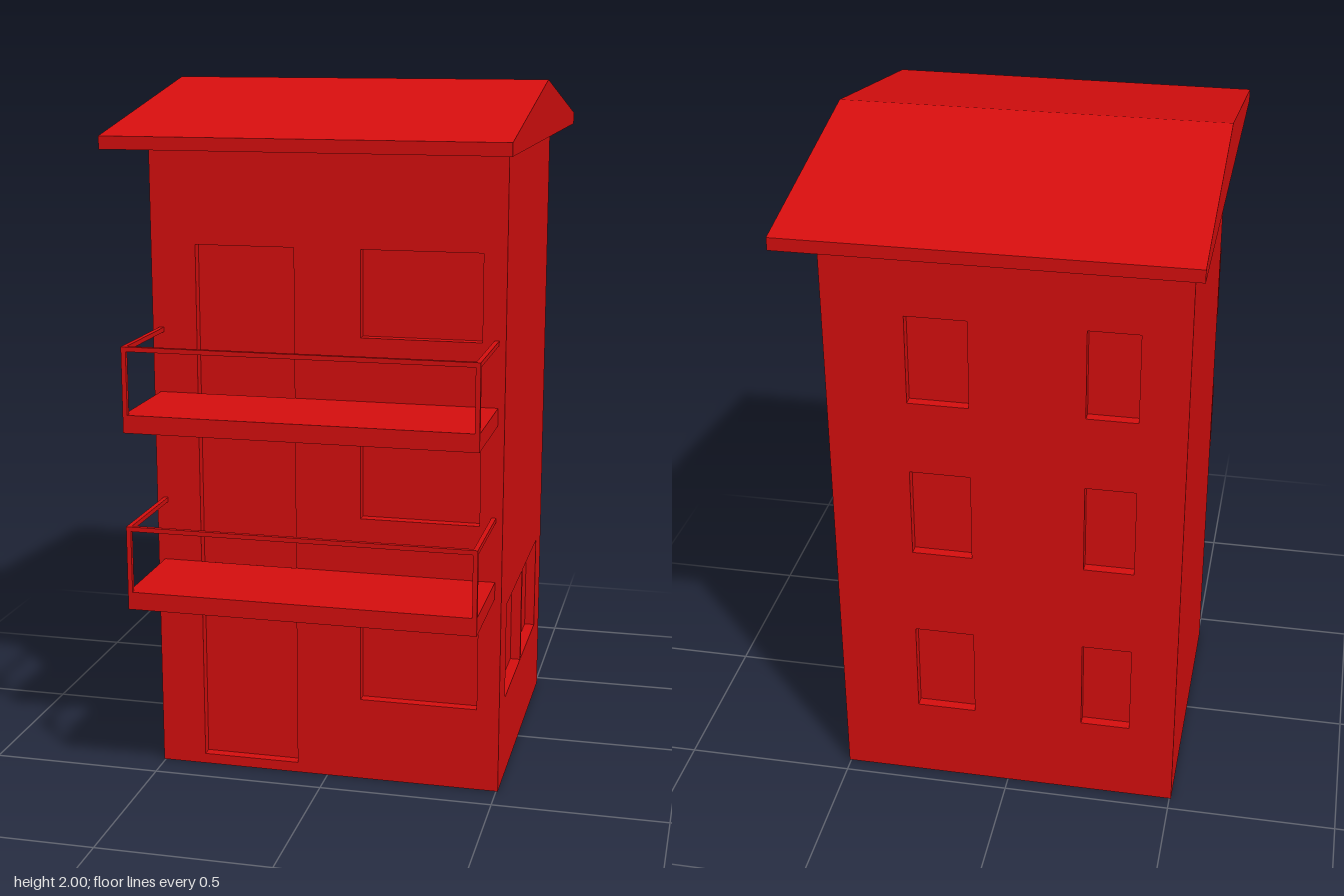
import * as THREE from 'three';

const RED = new THREE.MeshStandardMaterial({ color: 0xd80e0e, flatShading: true });

// Body extents and depth of the door and window recesses
const X = 0.505, FRONT = 0.41, BACK = -0.455, TOP = 1.835, RECESS = 0.03;

function add(parent, name, geometry) {
  const mesh = new THREE.Mesh(geometry, RED);
  mesh.name = name;
  parent.add(mesh);
  return mesh;
}

// Box given by its lower and upper corners
function box(parent, name, [x0, y0, z0], [x1, y1, z1]) {
  const mesh = add(parent, name, new THREE.BoxGeometry(x1 - x0, y1 - y0, z1 - z0));
  mesh.position.set((x0 + x1) / 2, (y0 + y1) / 2, (z0 + z1) / 2);
  return mesh;
}

// Wall slab from u0 to u1 with rectangular openings [u0, u1, y0, y1]
function wall(parent, name, u0, u1, openings) {
  const rect = (path, a, b, c, d) =>
    path.moveTo(a, c).lineTo(b, c).lineTo(b, d).lineTo(a, d).closePath();
  const shape = rect(new THREE.Shape(), u0, u1, 0, TOP);
  for (const [a, b, c, d] of openings) shape.holes.push(rect(new THREE.Path(), a, b, c, d));
  return add(parent, name, new THREE.ExtrudeGeometry(shape, { depth: RECESS, bevelEnabled: false }));
}

function makeBody() {
  const body = new THREE.Group();
  body.name = 'body';
  box(body, 'core', [-X, 0, BACK + RECESS], [X - RECESS, TOP, FRONT - RECESS]);

  // Front: a door and a window on each floor
  const frontOpenings = [];
  for (const [doorSill, windowSill, head] of [[0.03, 0.245, 0.53], [0.62, 0.79, 1.02], [1.12, 1.31, 1.555]]) {
    frontOpenings.push([-0.375, -0.09, doorSill, head], [0.1, 0.44, windowSill, head]);
  }
  wall(body, 'frontWall', -X, X, frontOpenings).position.z = FRONT - RECESS;

  // Back: two narrow windows on each floor (turned, so u = -x)
  const backOpenings = [];
  for (const [sill, head] of [[0.25, 0.53], [0.8, 1.07], [1.29, 1.555]]) {
    backOpenings.push([-0.275, -0.1, sill, head], [0.225, 0.37, sill, head]);
  }
  const back = wall(body, 'backWall', -X, X, backOpenings);
  back.rotation.y = Math.PI;
  back.position.z = BACK + RECESS;

  // Left side: one pair of ground floor windows (u = -z)
  const side = wall(body, 'sideWall', -(FRONT - RECESS), -(BACK + RECESS),
    [[-0.3, 0.016, 0.245, 0.53], [0.032, 0.34, 0.245, 0.53]]);
  side.rotation.y = Math.PI / 2;
  side.position.x = X - RECESS;
  return body;
}

function makeBalcony(y) {
  const balcony = new THREE.Group();
  balcony.name = 'balcony';
  const w = 0.486, z = 0.72, t = 0.013, rail = 0.237;
  box(balcony, 'floor', [-w, 0, FRONT], [w, 0.05, z]);
  box(balcony, 'frontRail', [-w, rail - t, z - t], [w, rail, z]);
  for (const x of [-w, w - t]) {
    box(balcony, 'post', [x, 0.05, z - t], [x + t, rail - t, z]);
    box(balcony, 'sideRail', [x, rail - t, FRONT], [x + t, rail, z - t]);
  }
  balcony.position.y = y;
  return balcony;
}

// Gabled roof with its ridge along x (profile u = -z)
function makeRoof() {
  const profile = new THREE.Shape([
    [-0.67, TOP], [0.715, TOP], [0.715, 1.87], [0.025, 2], [-0.67, 1.87],
  ].map(([u, y]) => new THREE.Vector2(u, y)));
  const geometry = new THREE.ExtrudeGeometry(profile, { depth: 1.1, bevelEnabled: false });
  geometry.translate(0, 0, -0.55).rotateY(Math.PI / 2);
  const roof = new THREE.Mesh(geometry, RED);
  roof.name = 'roof';
  return roof;
}

export function createModel() {
  const model = new THREE.Group();
  model.name = 'house';
  model.add(makeBody(), makeRoof(), makeBalcony(0.58), makeBalcony(1.08));
  return model;
}
